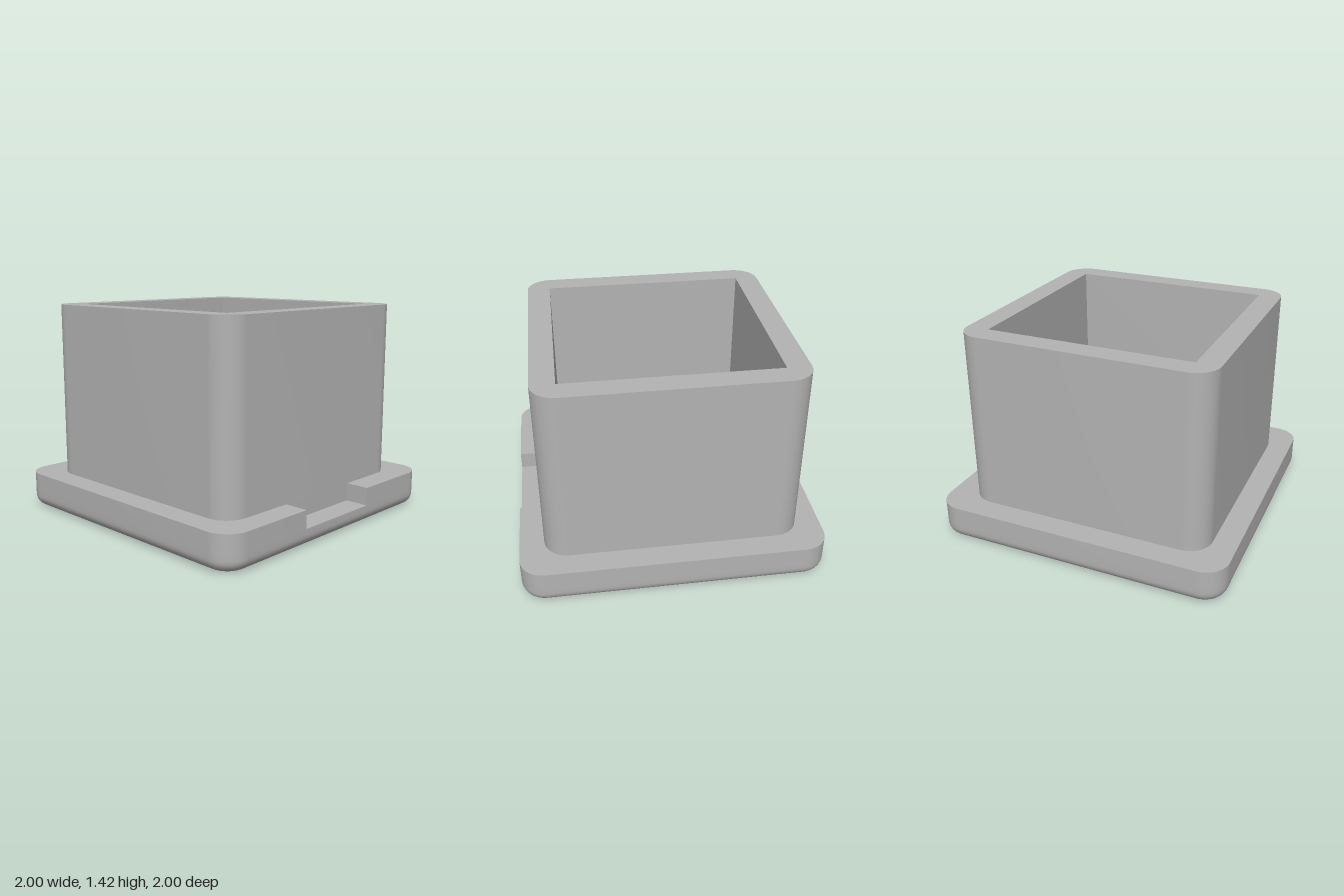
import * as THREE from 'three';
import { toCreasedNormals } from 'three/addons/utils/BufferGeometryUtils.js';

const CORNER = 0.16, FILLET = 0.08;
const NOTCH_Y = 0.12, FLANGE_TOP = 0.24, TOP = 1.42;
const TUB = 0.84, CAVITY = 0.685, NOTCH_X = 0.32;

// Rounded square outline, optionally with a notch cut into its front edge
function roundedSquare(half, r, notch = false) {
  const s = new THREE.Shape(), c = half - r;
  s.moveTo(-c, -half);
  if (notch) {
    s.lineTo(-NOTCH_X, -half);
    s.lineTo(-NOTCH_X, -TUB);
    s.lineTo(NOTCH_X, -TUB);
    s.lineTo(NOTCH_X, -half);
  }
  s.lineTo(c, -half);
  s.absarc(c, -c, r, -Math.PI / 2, 0);
  s.absarc(c, c, r, 0, Math.PI / 2);
  s.absarc(-c, c, r, Math.PI / 2, Math.PI);
  s.absarc(-c, -c, r, Math.PI, Math.PI * 1.5);
  return s;
}

// Upright extrusion from y0 to y1
function prism(shape, y0, y1) {
  const g = new THREE.ExtrudeGeometry(shape, { depth: y1 - y0, bevelEnabled: false, curveSegments: 10 });
  g.rotateX(-Math.PI / 2).translate(0, y0, 0);
  return toCreasedNormals(g, 0.5);
}

// Flat cap facing up or down
function cap(half, r, y, down) {
  const g = new THREE.ShapeGeometry(roundedSquare(half, r), 10);
  return g.rotateX(down ? Math.PI / 2 : -Math.PI / 2).translate(0, y, 0);
}

// Side skin of the base: stacked outlines sweeping round the bottom fillet
function filletSkin() {
  const levels = [];
  for (let i = 0; i <= 8; i++) {
    const a = (i / 8) * Math.PI / 2;
    levels.push([FILLET * (1 - Math.sin(a)), FILLET * (1 - Math.cos(a))]);
  }
  levels.push([0, NOTCH_Y]);
  const pos = [], idx = [];
  let n = 0;
  levels.forEach(([inset, y], j) => {
    const pts = roundedSquare(1 - inset, CORNER - inset).getPoints(10);
    n = pts.length;
    pts.forEach((p, i) => {
      pos.push(p.x, y, -p.y);
      if (j === 0) return;
      const k = (i + 1) % n, lo = (j - 1) * n, hi = j * n;
      idx.push(lo + i, lo + k, hi + k, lo + i, hi + k, hi + i);
    });
  });
  const g = new THREE.BufferGeometry();
  g.setAttribute('position', new THREE.Float32BufferAttribute(pos, 3));
  g.setIndex(idx);
  return toCreasedNormals(g, 0.5);
}

export function createModel() {
  const grey = new THREE.MeshStandardMaterial({ color: 0xb3b3b3 });
  grey.name = 'grey';
  const model = new THREE.Group();
  model.name = 'squareCap';
  const add = (name, geometry) => {
    const mesh = new THREE.Mesh(geometry, grey);
    mesh.name = name;
    model.add(mesh);
  };

  // Base flange with rounded lower edge
  add('flangeSide', filletSkin());
  add('flangeBottom', cap(1 - FILLET, CORNER - FILLET, 0, true));
  add('notchFloor', cap(1, CORNER, NOTCH_Y, false));
  add('flangeUpper', prism(roundedSquare(1, CORNER, true), NOTCH_Y, FLANGE_TOP));

  // Hollow square tub, its floor level with the flange top
  const wall = roundedSquare(TUB, CORNER);
  const c = CAVITY;
  wall.holes.push(new THREE.Path([
    new THREE.Vector2(-c, -c), new THREE.Vector2(-c, c),
    new THREE.Vector2(c, c), new THREE.Vector2(c, -c),
  ]));
  add('tubWall', prism(wall, FLANGE_TOP, TOP));
  return model;
}
